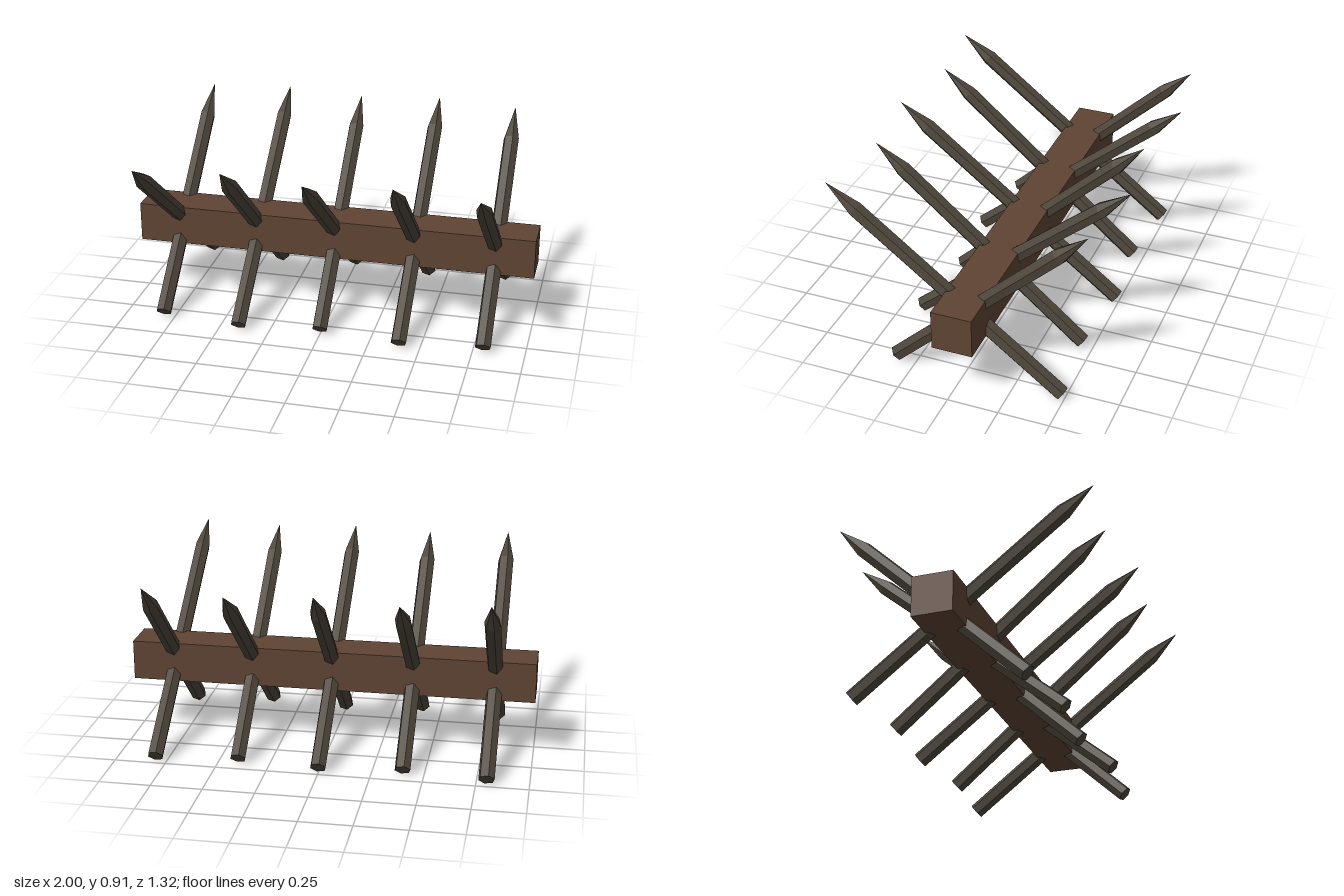
import * as THREE from 'three';

const beamWood = new THREE.MeshStandardMaterial({ color: 0x5e4433, flatShading: true });
beamWood.name = 'brown beam wood';
const stakeWood = new THREE.MeshStandardMaterial({ color: 0x4d453a, flatShading: true });
stakeWood.name = 'grey brown stake wood';

const RADIUS = 0.04;
const POINT = 0.18;
const TIP_Y = 0.917;
const FOOT_Y = 0.033;

// Six-sided stake with a sharpened end, running from its foot to its tip
function makeStake(name, x, footZ, tipZ) {
  const dy = TIP_Y - FOOT_Y;
  const dz = tipZ - footZ;
  const length = Math.hypot(dy, dz);
  const profile = [
    new THREE.Vector2(0, 0),
    new THREE.Vector2(RADIUS, 0),
    new THREE.Vector2(RADIUS, length - POINT),
    new THREE.Vector2(0, length),
  ];
  const stake = new THREE.Mesh(new THREE.LatheGeometry(profile, 6, 0.25), stakeWood);
  stake.name = name;
  stake.position.set(x, FOOT_Y, footZ);
  stake.rotation.x = Math.atan2(dz, dy);
  return stake;
}

export function createModel() {
  const model = new THREE.Group();
  model.name = 'spikedBarricade';

  // Square beam
  const beam = new THREE.Mesh(new THREE.BoxGeometry(2, 0.197, 0.197), beamWood);
  beam.name = 'beam';
  beam.position.set(0, 0.387, -0.03);
  model.add(beam);

  // Crossed pairs of stakes, alternating slightly in lean
  for (let i = 0; i < 5; i++) {
    const x = -0.8 + i * 0.4;
    const even = i % 2 === 0;
    const pair = new THREE.Group();
    pair.name = 'stakePair';
    pair.add(
      makeStake('frontStake', x, even ? -0.488 : -0.447, even ? 0.66 : 0.602),
      makeStake('backStake', x, even ? 0.343 : 0.39, even ? -0.595 : -0.66),
    );
    model.add(pair);
  }
  return model;
}
